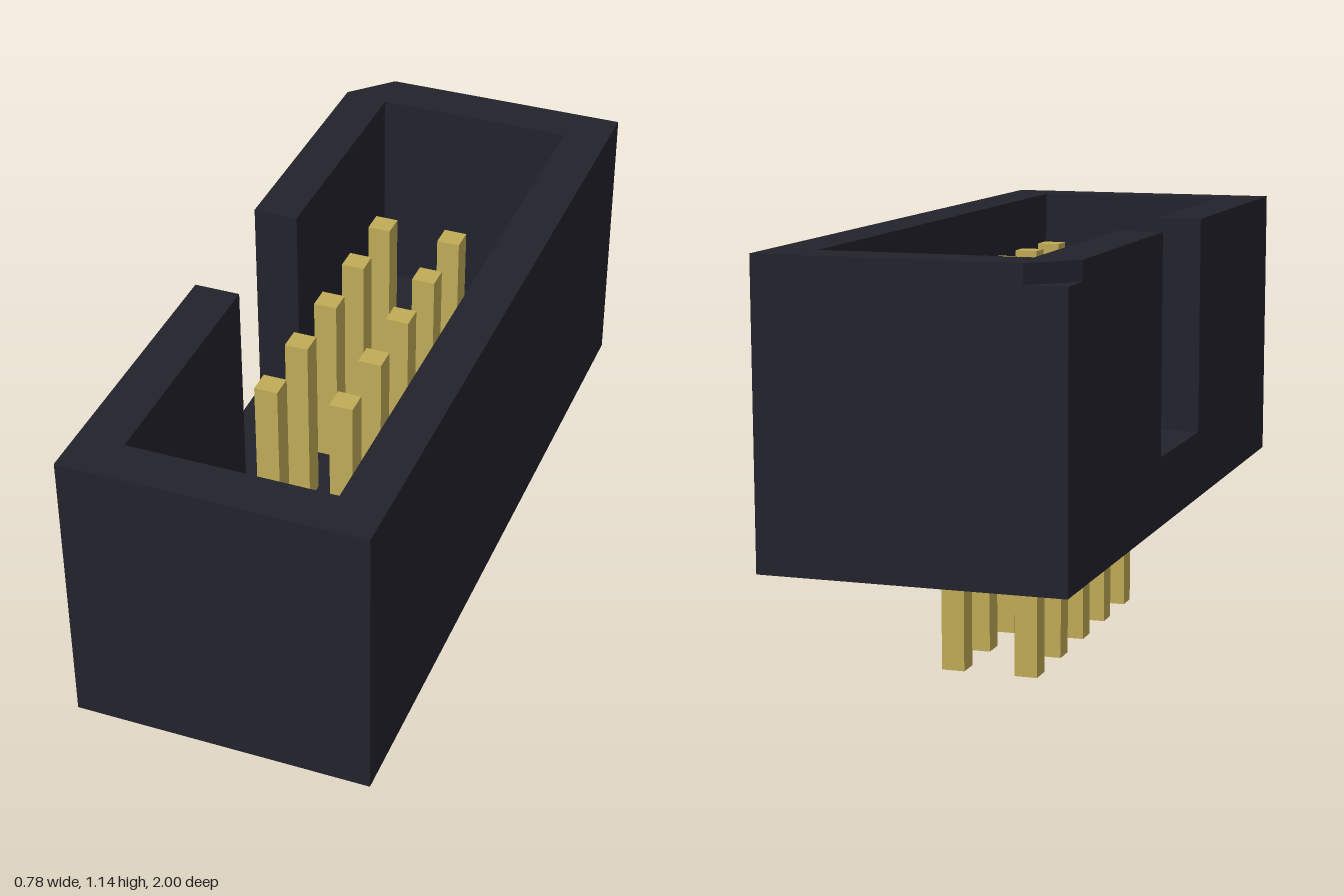
import * as THREE from 'three';

const BOTTOM = 0.367, FLOOR = 0.553, NOTCH = 1.09, TOP = 1.14;
const W = 0.392, L = 1;          // outer half width and half length
const IW = 0.27, IL = 0.876;     // inner half width and half length
const SLOT = 0.195;              // half length of the key slot in the -x wall

// Extrudes an outline given as [x, z] points between two heights
function slab(points, y0, y1) {
  const shape = new THREE.Shape(points.map(([x, z]) => new THREE.Vector2(x, z)));
  const geo = new THREE.ExtrudeGeometry(shape, { depth: y1 - y0, bevelEnabled: false });
  geo.rotateX(Math.PI / 2);      // outline lies in xz, depth runs downward
  geo.translate(0, y1, 0);
  return geo;
}

export function createModel() {
  const plastic = new THREE.MeshStandardMaterial({ color: 0x22222c });
  plastic.name = 'darkPlastic';
  const gold = new THREE.MeshStandardMaterial({ color: 0xc0ab57 });
  gold.name = 'goldMetal';

  const model = new THREE.Group();
  model.name = 'pinHeader';
  const add = (name, geo, mat, parent = model) => {
    const mesh = new THREE.Mesh(geo, mat);
    mesh.name = name;
    parent.add(mesh);
    return mesh;
  };

  // Solid base of the housing
  add('housingBase', slab([[-W, -L], [W, -L], [W, L], [-W, L]], BOTTOM, FLOOR), plastic);

  // Surrounding wall, open at the key slot; the corner points vary by layer
  const wall = (corner) => [
    ...corner, [W, -L], [W, L], [-W, L], [-W, SLOT], [-IW, SLOT], [-IW, IL],
    [IW, IL], [IW, -IL], [-IW, -IL], [-IW, -SLOT], [-W, -SLOT],
  ];
  add('housingWall', slab(wall([[-W, -L]]), FLOOR, NOTCH), plastic);

  // Rim with the first-pin notch cut from one corner
  add('housingRim', slab(wall([[-W, -0.89], [-0.285, -L]]), NOTCH, TOP), plastic);

  // Two rows of five square pins
  const pins = new THREE.Group();
  pins.name = 'pins';
  model.add(pins);
  const pinTop = 1.04;
  const pinGeo = new THREE.BoxGeometry(0.062, pinTop, 0.062);
  for (const x of [-0.1, 0.1]) {
    for (let i = -2; i <= 2; i++) {
      add('pin', pinGeo, gold, pins).position.set(x, pinTop / 2, i * 0.201);
    }
  }
  return model;
}
